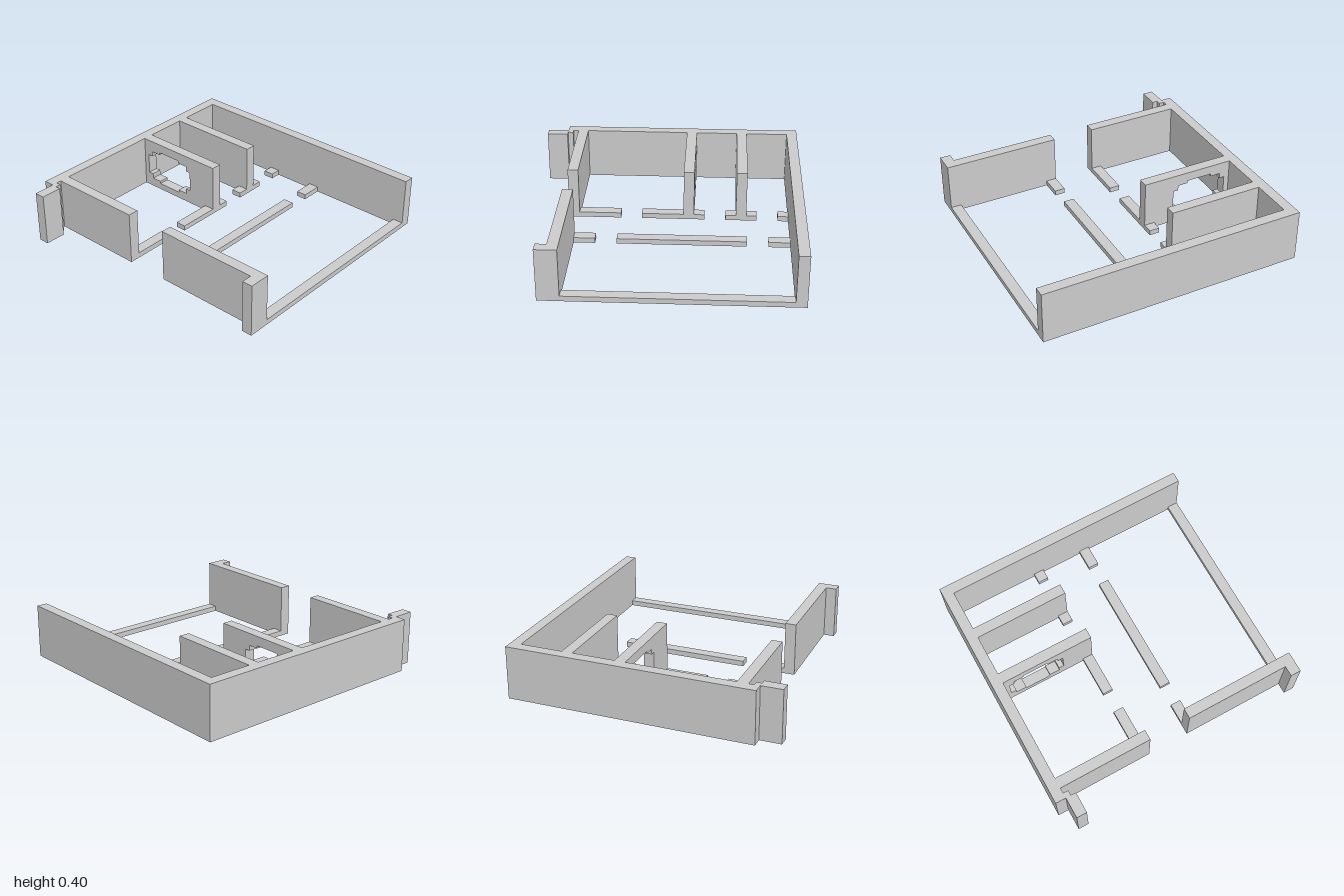
import * as THREE from 'three';

const H = 0.4;    // full wall height
const LOW = 0.04; // sill height

export function createModel() {
  const model = new THREE.Group();
  model.name = 'floorPlan';
  const material = new THREE.MeshStandardMaterial({ color: 0xcccccc, flatShading: true });

  // One straight wall given by its footprint
  function wall(name, x0, x1, z0, z1, h = H) {
    const mesh = new THREE.Mesh(new THREE.BoxGeometry(x1 - x0, h, z1 - z0), material);
    mesh.name = name;
    mesh.position.set((x0 + x1) / 2, h / 2, (z0 + z1) / 2);
    model.add(mesh);
  }

  // Outer walls
  wall('backWall', -0.84, 1, -1, -0.92);
  wall('sideWall', 0.92, 1, -0.92, 1);
  wall('frontCornerWall', -0.84, -0.68, 0.92, 1);
  wall('frontSill', -0.68, 0.92, 0.92, 1, LOW);
  wall('backRoomSideWall', -0.76, -0.68, -0.92, -0.2);
  wall('frontRoomSideWall', -0.76, -0.68, 0.12, 0.92);

  // Stub outside the back corner with its small link
  wall('outerStub', -1, -0.84, -0.92, -0.84);
  wall('stubLink', -0.84, -0.8, -0.92, -0.88);

  // Low sills along both sides of the corridor, broken by doorways
  for (const [x0, x1] of [[-0.68, -0.36], [-0.2, 0.12], [0.2, 0.28], [0.44, 0.52], [0.6, 0.68], [0.84, 0.92]])
    wall('backRoomSill', x0, x1, -0.28, -0.2, LOW);
  for (const [x0, x1] of [[-0.68, -0.52], [-0.36, 0.6], [0.76, 0.92]])
    wall('frontRoomSill', x0, x1, 0.12, 0.2, LOW);

  // Partitions between the back rooms
  wall('partition', 0.52, 0.6, -0.92, -0.2);

  // Partition with a stepped round opening, drawn in (-z, y)
  const shape = new THREE.Shape([[0.2, 0], [0.92, 0], [0.92, H], [0.2, H]].map(p => new THREE.Vector2(...p)));
  const quarter = [[0.22, 0.08], [0.18, 0.08], [0.18, 0.12], [0.1, 0.12], [0.1, 0.14]];
  const centre = [0.66, 0.19];
  const ring = [];
  for (const [su, sv] of [[1, 1], [-1, 1], [-1, -1], [1, -1]]) {
    const points = su * sv > 0 ? quarter : [...quarter].reverse();
    for (const [u, v] of points) ring.push(new THREE.Vector2(centre[0] + su * u, centre[1] + sv * v));
  }
  shape.holes.push(new THREE.Path(ring));
  const geometry = new THREE.ExtrudeGeometry(shape, { depth: 0.08, bevelEnabled: false });
  geometry.rotateY(Math.PI / 2);
  const opened = new THREE.Mesh(geometry, material);
  opened.name = 'partitionWithOpening';
  opened.position.x = 0.12;
  model.add(opened);

  return model;
}
